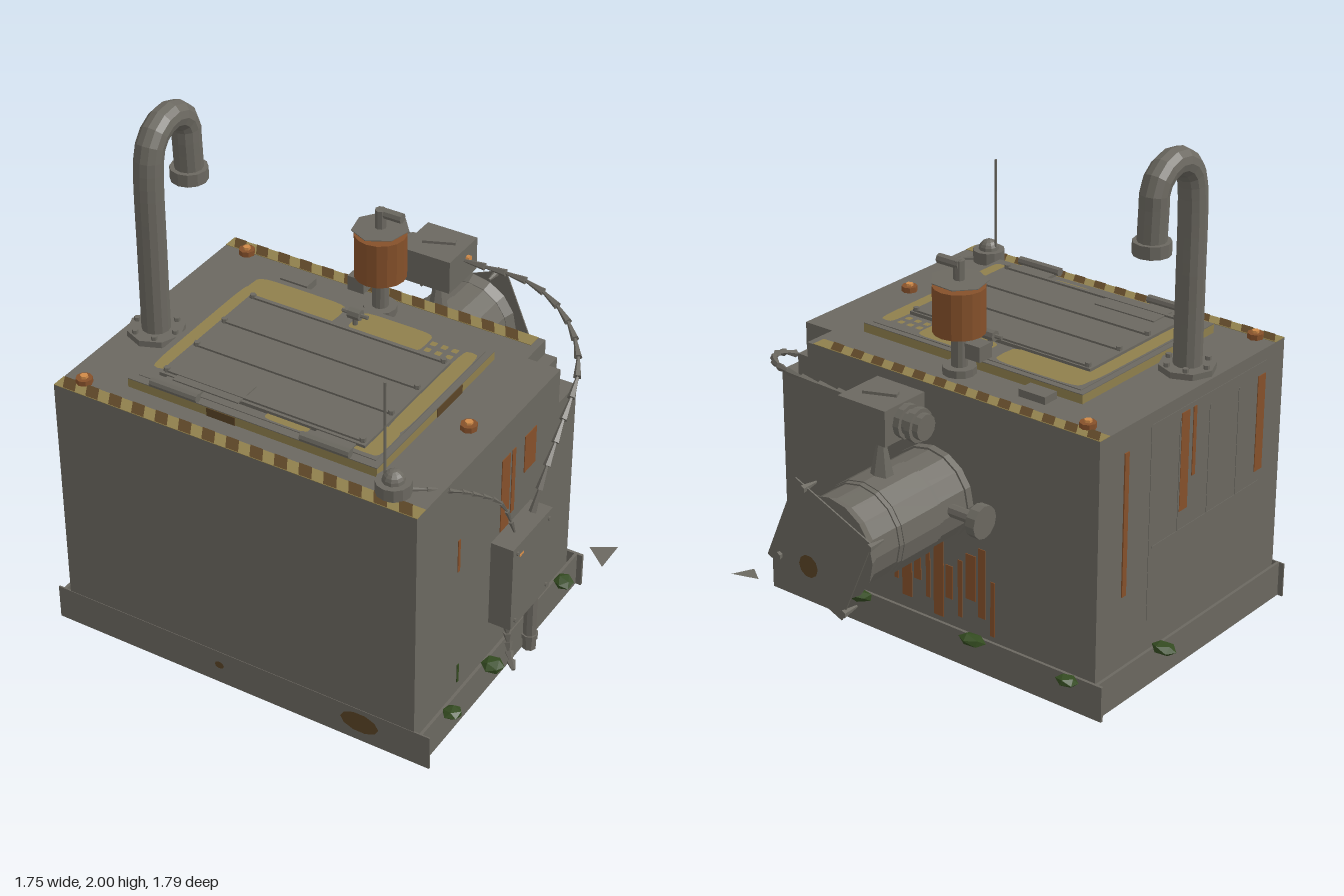
import * as THREE from 'three';

const mat = (name, color) => {
  const m = new THREE.MeshStandardMaterial({ color, side: THREE.DoubleSide });
  m.name = name;
  return m;
};

export function createModel() {
  const root = new THREE.Group();
  root.name = 'bunkerHouse';
  const grey = mat('weathered grey', 0x6b6860), yellow = mat('worn yellow', 0x8f7f4c);
  const brown = mat('dirt brown', 0x5a4426), rust = mat('rust', 0x85502a);
  const orange = mat('bright orange', 0xd08a48), green = mat('moss green', 0x334a20);
  const purple = mat('purple', 0x7b2fb5);

  const add = (name, geo, m, x = 0, y = 0, z = 0) => {
    const mesh = new THREE.Mesh(geo, m);
    mesh.name = name;
    mesh.position.set(x, y, z);
    root.add(mesh);
    return mesh;
  };
  const flat = (g) => {
    const n = g.index ? g.toNonIndexed() : g;
    n.computeVertexNormals();
    return n;
  };
  // box given by its limits
  const slab = (name, m, x0, x1, y0, y1, z0, z1) =>
    add(name, new THREE.BoxGeometry(x1 - x0, y1 - y0, z1 - z0), m, (x0 + x1) / 2, (y0 + y1) / 2, (z0 + z1) / 2);
  // cylinder along an axis, centred on a point
  const cyl = (name, m, r, len, x, y, z, axis = 'y', sides = 12, rTop = r) => {
    const c = add(name, flat(new THREE.CylinderGeometry(rTop, r, len, sides)), m, x, y, z);
    if (axis === 'x') c.rotation.z = Math.PI / 2;
    if (axis === 'z') c.rotation.x = Math.PI / 2;
    return c;
  };
  const path = (pts) => new THREE.CatmullRomCurve3(pts.map((p) => new THREE.Vector3(...p)));
  const polygon = (pts) => new THREE.Shape(pts.map((p) => new THREE.Vector2(...p)));
  // frayed cable: a chain of tapered links along a curve
  const cable = (name, pts, r, links) => {
    const p = path(pts).getSpacedPoints(links);
    for (let i = 0; i < links; i++) {
      const dir = p[i + 1].clone().sub(p[i]);
      const mid = p[i].clone().lerp(p[i + 1], 0.5);
      const link = cyl(name, grey, r, dir.length(), mid.x, mid.y, mid.z, 'y', 5, r * 0.4);
      link.quaternion.setFromUnitVectors(new THREE.Vector3(0, 1, 0), dir.normalize());
    }
  };
  // soft-edged flat paint patch lying on a horizontal surface
  const paint = (x0, x1, z0, z1, y) => {
    const pts = [], w = (x1 - x0) / 2, h = (z1 - z0) / 2, p = 0.35;
    for (let i = 0; i < 20; i++) {
      const a = (i / 20) * Math.PI * 2, c = Math.cos(a), s = Math.sin(a);
      pts.push([Math.sign(c) * Math.abs(c) ** p * w, Math.sign(s) * Math.abs(s) ** p * h]);
    }
    add('wornPaint', new THREE.ShapeGeometry(polygon(pts)).rotateX(-Math.PI / 2), yellow, x0 + w, y, z0 + h);
  };

  // hollow body, open below, with a notched back corner in the roof
  const X0 = -0.775, X1 = 0.735, Z0 = -0.27, Z1 = 0.9;
  slab('frontWall', grey, X0, X1, 0, 0.95, Z1 - 0.02, Z1);
  slab('backWall', grey, X0, X1, 0, 0.95, Z0, Z0 + 0.02);
  slab('leftWall', grey, X1 - 0.02, X1, 0, 0.95, Z0, Z1);
  slab('rightWall', grey, X0, X0 + 0.02, 0, 0.95, Z0, Z1);
  const roofShape = polygon([[X0, -Z1], [X1, -Z1], [X1, 0.13], [0.6, 0.13], [0.6, -Z0], [X0, -Z0]]);
  const roof = new THREE.ExtrudeGeometry(roofShape, { depth: 0.15, bevelEnabled: false });
  add('roof', roof.rotateX(-Math.PI / 2), grey, 0, 0.95, 0);
  slab('notchFloor', grey, 0.6, X1, 0.94, 0.95, Z0, -0.13);
  slab('notchStep', grey, 0.6, 0.65, 0.95, 1.04, Z0, -0.13);

  // skirt plates
  slab('frontSkirt', grey, -0.83, 0.8, 0, 0.145, 0.896, 0.902);
  slab('backSkirt', grey, -0.83, 0.79, 0, 0.145, -0.305, -0.293);
  slab('rightSkirt', grey, -0.808, -0.796, 0, 0.145, -0.3, 0.9);
  slab('leftSkirt', grey, 0.756, 0.768, 0, 0.145, -0.3, 0.9);

  // hazard stripes along the roof edges
  const hazard = (x0, x1, z0, z1) => {
    slab('hazardBase', yellow, x0, x1, 1.1, 1.102, z0, z1);
    for (let x = x0 + 0.005; x < x1 - 0.09; x += 0.1) {
      const s = polygon([[x + 0.035, -z1], [x + 0.088, -z1], [x + 0.053, -z0], [x, -z0]]);
      add('hazardStripe', new THREE.ShapeGeometry(s).rotateX(-Math.PI / 2), brown, 0, 1.104, 0);
    }
  };
  hazard(X0, 0.57, Z0, -0.21);
  hazard(X0, X1, 0.84, Z1);

  // roof hatch
  slab('hatchKerb', yellow, -0.54, 0.5, 1.1, 1.135, -0.06, 0.77);
  slab('hatchKerbTop', grey, -0.54, 0.5, 1.135, 1.138, -0.06, 0.77);
  slab('hatchFrameTop', grey, -0.515, 0.475, 1.138, 1.141, -0.035, 0.735);
  slab('kerbDirt', brown, -0.2, -0.08, 1.1, 1.134, 0.77, 0.773);
  slab('kerbDirt', brown, 0.5, 0.503, 1.1, 1.134, 0.18, 0.36);
  paint(-0.5, -0.1, -0.03, 0.11, 1.144);
  paint(-0.04, 0.27, -0.03, 0.1, 1.144);
  paint(0.41, 0.475, 0, 0.57, 1.144);
  paint(-0.51, -0.45, 0.04, 0.67, 1.144);
  paint(0.36, 0.475, 0.55, 0.72, 1.144);
  paint(0.01, 0.19, 0.66, 0.73, 1.144);
  for (let i = 0; i < 6; i++) paint(0.28 + (i % 3) * 0.045, 0.305 + (i % 3) * 0.045, 0.01 + (i % 2) * 0.045, 0.035 + (i % 2) * 0.045, 1.144);
  slab('hatchLid', grey, -0.45, 0.41, 1.138, 1.155, 0.105, 0.7);
  for (const z of [0.12, 0.31, 0.49, 0.68]) {
    slab('lidRib', grey, -0.44, 0.4, 1.155, 1.163, z - 0.008, z + 0.008);
    for (const x of [-0.43, 0.39]) cyl('lidBolt', grey, 0.012, 0.02, x, 1.162, z, 'y', 6);
  }
  slab('lidStep', grey, -0.38, -0.1, 1.155, 1.16, 0.6, 0.72);
  for (const x of [-0.335, 0.295]) {
    slab('hingePlate', grey, x - 0.08, x + 0.08, 1.138, 1.15, 0.69, 0.77);
    cyl('hingeBarrel', grey, 0.018, 0.2, x, 1.16, 0.77, 'x', 8);
  }
  cyl('hatchHandle', grey, 0.022, 0.05, -0.02, 1.19, 0.06, 'x', 8);
  cyl('handlePin', grey, 0.008, 0.11, -0.02, 1.19, 0.06, 'x', 6);
  cyl('handlePost', grey, 0.01, 0.05, -0.02, 1.16, 0.06, 'y', 6);

  // snorkel vent
  const arch = [[-0.655, 1.1, 0.43], [-0.655, 1.45, 0.43], [-0.655, 1.8, 0.425]];
  for (let i = 1; i < 6; i++) {
    const a = Math.PI * (1 - i / 6);
    arch.push([-0.655, 1.81 + 0.135 * Math.sin(a), 0.3 - 0.125 * Math.cos(a)]);
  }
  arch.push([-0.655, 1.8, 0.185], [-0.655, 1.66, 0.178]);
  add('ventPipe', flat(new THREE.TubeGeometry(path(arch), 26, 0.055, 12)), grey);
  cyl('ventMouth', grey, 0.072, 0.05, -0.655, 1.66, 0.18);
  cyl('ventFlange', grey, 0.11, 0.025, -0.655, 1.112, 0.43, 'y', 8);
  for (let i = 0; i < 6; i++)
    cyl('flangeBolt', grey, 0.012, 0.02, -0.655 + 0.085 * Math.cos(i * 1.047), 1.13, 0.43 + 0.085 * Math.sin(i * 1.047), 'y', 6);

  // chimney
  cyl('chimneyBase', grey, 0.065, 0.03, -0.02, 1.115, -0.12);
  cyl('chimneyMast', grey, 0.032, 0.17, -0.02, 1.19, -0.12);
  cyl('chimneyDrum', rust, 0.1, 0.18, -0.02, 1.355, -0.12, 'y', 16);
  cyl('chimneyCap', grey, 0.11, 0.003, -0.02, 1.468, -0.12, 'y', 7).rotation.z = 0.04;
  cyl('chimneyNeck', grey, 0.022, 0.08, -0.02, 1.505, -0.12, 'y', 8);
  cyl('chimneySpout', grey, 0.02, 0.1, 0.02, 1.53, -0.125, 'x', 8);
  slab('chimneyBox', grey, -0.14, -0.07, 1.18, 1.24, -0.15, -0.08);
  slab('roofBox', grey, -0.44, -0.32, 1.1, 1.13, -0.15, -0.08);

  // antenna and dome
  cyl('domeBase', grey, 0.065, 0.05, 0.59, 1.125, 0.81);
  add('dome', flat(new THREE.SphereGeometry(0.042, 10, 5, 0, Math.PI * 2, 0, Math.PI / 2)), grey, 0.59, 1.15, 0.81);
  cyl('antenna', grey, 0.005, 0.44, 0.555, 1.32, 0.81, 'y', 6);

  // roof anchors
  for (const [x, z] of [[-0.67, -0.2], [0.63, 0.36], [-0.69, 0.83]]) {
    cyl('anchor', rust, 0.032, 0.022, x, 1.111, z, 'y', 8);
    cyl('anchorHead', orange, 0.015, 0.01, x, 1.127, z, 'y', 6);
  }

  // rear duct with collars and a skewed cover plate
  cyl('duct', grey, 0.18, 0.56, -0.02, 0.67, -0.55, 'z', 16);
  for (const [z, r, l] of [[-0.285, 0.188, 0.03], [-0.45, 0.186, 0.02], [-0.56, 0.19, 0.2], [-0.67, 0.186, 0.02]])
    cyl('ductCollar', grey, r, l, -0.02, 0.67, z, 'z', 16);
  cyl('ductMouth', grey, 0.182, 0.04, -0.02, 0.67, -0.825, 'z', 16, 0.2).rotation.x = -Math.PI / 2;
  add('coverPlate', new THREE.BoxGeometry(0.385, 0.385, 0.006), grey, 0.01, 0.665, -0.87).rotation.z = 0.4;
  add('coverDirt', new THREE.CircleGeometry(0.045, 10), brown, 0.06, 0.58, -0.875);
  for (const [dx, dy] of [[0.09, 0.22], [-0.22, 0.09], [0.22, -0.09], [-0.09, -0.22]])
    cyl('coverBolt', grey, 0.017, 0.08, -0.02 + dx, 0.67 + dy, -0.85, 'z', 6, 0.005);
  cyl('ductStrut', grey, 0.045, 0.19, -0.02, 0.94, -0.56, 'y', 6, 0.006);
  slab('ductBox', grey, -0.13, 0.09, 1.03, 1.17, -0.665, -0.45);
  add('ductBoxLatch', new THREE.BoxGeometry(0.13, 0.012, 0.03), grey, -0.02, 1.175, -0.56).rotation.y = 0.4;
  for (let i = 0; i < 4; i++)
    cyl('ribbedFitting', grey, i % 2 ? 0.05 : 0.065, 0.026, -0.143 - i * 0.025, 1.1, -0.56, 'x', 12);
  cyl('ductBoxLamp', orange, 0.014, 0.02, 0.095, 1.12, -0.585, 'x', 8);
  cyl('valveWheel', grey, 0.065, 0.04, -0.33, 0.69, -0.38, 'x', 12);
  cyl('valveStem', grey, 0.025, 0.14, -0.25, 0.69, -0.38, 'x', 8);

  // side switch box, conduit and cables
  slab('switchBox', grey, 0.738, 0.83, 0.27, 0.64, 0.07, 0.37);
  for (const y of [0.3, 0.61]) for (const z of [0.1, 0.34]) cyl('boxScrew', grey, 0.008, 0.01, 0.832, y, z, 'x', 6);
  slab('boxMark', orange, 0.83, 0.832, 0.58, 0.59, 0.29, 0.32);
  cyl('conduit', grey, 0.027, 0.27, 0.79, 0.135, 0.13, 'y', 8);
  cyl('conduitRing', grey, 0.033, 0.02, 0.79, 0.06, 0.13, 'y', 8);
  cable('ductCable', [[0.78, 0.64, 0.13], [0.79, 0.78, 0.07], [0.78, 0.92, -0.08], [0.74, 1.02, -0.27],
    [0.6, 1.08, -0.45], [0.4, 1.12, -0.55], [0.09, 1.12, -0.565]], 0.016, 15);
  cable('antennaCable', [[0.62, 1.11, 0.79], [0.73, 1.09, 0.7], [0.76, 0.98, 0.54], [0.78, 0.83, 0.37],
    [0.78, 0.64, 0.27]], 0.01, 10);
  cable('looseCable', [[0.78, 0.27, 0.31], [0.79, 0.18, 0.31], [0.81, 0.12, 0.33], [0.85, 0.09, 0.37]], 0.018, 6);
  // scrap beside the back corner
  const shard = new THREE.ShapeGeometry(polygon([[0, 0], [0.1, 0.05], [0.09, -0.07]])).rotateX(-Math.PI / 2);
  add('scrap', shard, grey, 0.76, 0.09, -0.42).rotation.x = 0.2;

  // access panel on the right wall
  slab('accessPanel', grey, X0 - 0.002, X0, 0.25, 1.05, 0.04, 0.78);
  for (const z of [0.22, 0.41, 0.6]) slab('panelSeam', grey, X0 - 0.004, X0, 0.55, 1.0, z - 0.004, z + 0.004);
  slab('panelSeam', grey, X0 - 0.004, X0, 0.546, 0.554, 0.06, 0.76);

  // rust runs: left wall, right wall, back wall
  for (const [z0, z1, y0, y1] of [[0.24, 0.3, 0.64, 0.96], [0.2, 0.225, 0.68, 0.96], [0.045, 0.13, 0.8, 0.96],
    [0.595, 0.61, 0.67, 0.81], [0, 0.01, 0.15, 0.29]]) slab('rustRun', rust, X1, X1 + 0.003, y0, y1, z0, z1);
  slab('mossRun', green, X1, X1 + 0.003, 0.15, 0.23, 0.585, 0.597);
  for (const [z, w, y0, y1] of [[0.25, 0.05, 0.63, 1.03], [0.31, 0.02, 0.75, 1.03], [0.75, 0.05, 0.6, 1.0], [-0.11, 0.025, 0.42, 1.0]])
    slab('rustRun', rust, X0 - 0.005, X0, y0, y1, z - w / 2, z + w / 2);
  for (let i = 0; i < 10; i++) {
    const x = -0.3 + i * 0.052, w = 0.01 + (i % 3) * 0.007;
    slab('rustRun', rust, x - w, x + w, 0.15 + ((i * 7) % 5) * 0.03, 0.38 + ((i * 3) % 4) * 0.04, Z0 - 0.003, Z0);
  }

  // dirt patches on the front skirt
  for (const [x, r, sy] of [[0.51, 0.08, 0.55], [-0.095, 0.02, 0.8]])
    add('dirtPatch', new THREE.CircleGeometry(r, 10), brown, x, 0.085, 0.905).scale.y = sy;

  // moss clumps on the skirt
  [[-0.7, -0.34, 0.045], [-0.25, -0.33, 0.055], [0.3, -0.34, 0.055], [0.8, -0.12, 0.04], [0.8, 0.44, 0.045],
    [0.8, 0.74, 0.04], [-0.84, 0.07, 0.05]].forEach(([x, z, r], i) => {
    const moss = add('mossClump', new THREE.IcosahedronGeometry(r, 0), green, x, 0.145, z);
    moss.scale.y = 0.45;
    moss.rotation.set(0.2, i, 0.15);
  });

  // shaft beneath the hatch
  add('shaft', new THREE.CylinderGeometry(0.17, 0.17, 0.95, 20, 1, true), grey, -0.02, 0.475, 0.45);
  add('shaftLining', new THREE.CylinderGeometry(0.165, 0.165, 0.94, 20, 1, true), orange, -0.02, 0.475, 0.45);
  for (const y of [0.07, 0.42])
    add('shaftRing', new THREE.TorusGeometry(0.2, 0.008, 6, 24).rotateX(Math.PI / 2), purple, -0.02, y, 0.45);

  return root;
}
